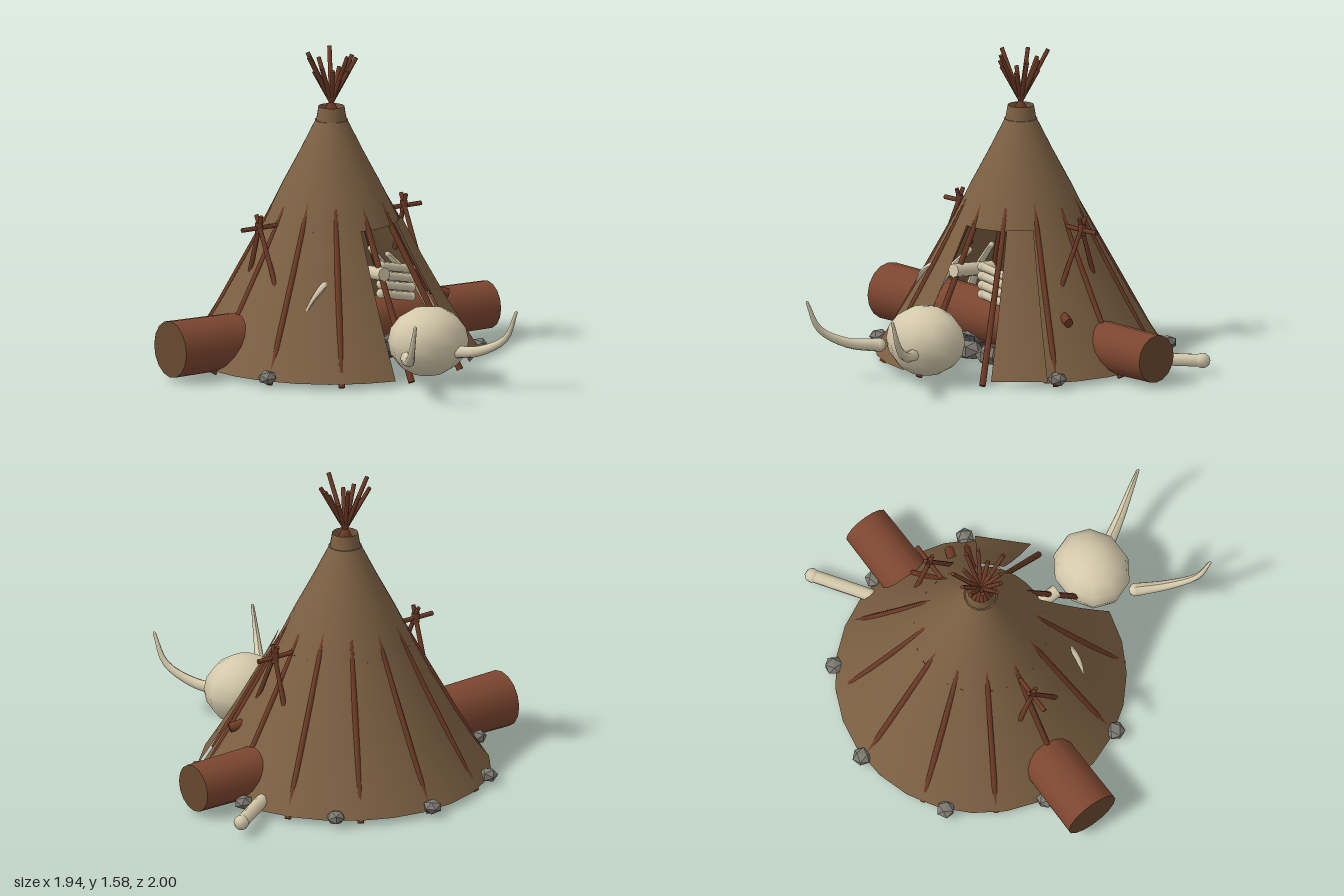
import * as THREE from 'three';

const mat = (name, color, side = THREE.FrontSide) => {
  const m = new THREE.MeshStandardMaterial({ color, side });
  m.name = name;
  return m;
};
const V = (x, y, z) => new THREE.Vector3(x, y, z);
const rad = THREE.MathUtils.degToRad;
const CZ = -0.21; // the tent axis sits behind the origin

// Point at an angle around the tent axis, 0 = front, 90 = model's left
const polar = (deg, r, y) => V(r * Math.sin(rad(deg)), y, CZ + r * Math.cos(rad(deg)));

export function createModel() {
  const hide = mat('hide', 0x7b5f42, THREE.DoubleSide);
  const wood = mat('pole wood', 0x6e3b26);
  const bark = mat('log bark', 0x7c4630);
  const cut = mat('cut wood', 0x66482f);
  const bone = mat('bone', 0xd4c9ab);
  const stone = mat('stone', 0x7c7970);
  const sooty = mat('sooty stone', 0x4b4c4d);
  const ash = mat('ash', 0x2c2a28);
  const model = new THREE.Group();

  const add = (name, geo, material, pos) => {
    const m = new THREE.Mesh(geo, material);
    m.name = name;
    if (pos) m.position.copy(pos);
    model.add(m);
    return m;
  };

  // Straight rod from a to b, radius ra at a and rb at b
  const rod = (name, a, b, ra, rb, material, sides = 8) => {
    const d = b.clone().sub(a);
    const m = add(name, new THREE.CylinderGeometry(rb, ra, d.length(), sides), material, a.clone().add(b).multiplyScalar(0.5));
    m.quaternion.setFromUnitVectors(V(0, 1, 0), d.normalize());
    return m;
  };

  // Curved, tapering tusk: tube whose rings shrink towards the tip
  const tusk = (name, pts, r0, r1) => {
    const n = 12, s = 8, curve = new THREE.CatmullRomCurve3(pts);
    const geo = new THREE.TubeGeometry(curve, n, 1, s);
    const p = geo.attributes.position;
    for (let i = 0; i < p.count; i++) {
      const t = Math.floor(i / (s + 1)) / n, c = curve.getPointAt(t);
      const v = V(0, 0, 0).fromBufferAttribute(p, i).sub(c).multiplyScalar(r0 + (r1 - r0) * t).add(c);
      p.setXYZ(i, v.x, v.y, v.z);
    }
    geo.computeVertexNormals();
    add(name, geo, bone);
    add(name + 'Root', new THREE.SphereGeometry(r0, 8, 6), bone, pts[0]);
    add(name + 'Tip', new THREE.SphereGeometry(r1, 8, 6), bone, pts[pts.length - 1]);
  };

  // Bone with rounded ends
  const limbBone = (name, a, b, r) => {
    rod(name, a, b, r, r, bone);
    [a, b].forEach(p => add(name + 'Knob', new THREE.SphereGeometry(r * 1.15, 8, 6), bone, p));
  };

  const rock = (name, pos, r, turn, material) => {
    const m = add(name, new THREE.IcosahedronGeometry(1, 0), material, pos);
    m.scale.set(r, r * 0.75, r);
    m.rotation.y = turn;
  };

  // Hide cover: closed upper cone, lower wall with a doorway, turned-back flap
  const lathe = (name, pts, from, to, segs) => {
    const geo = new THREE.LatheGeometry(pts.map(([r, y]) => new THREE.Vector2(r, y)), segs, rad(from), rad(to - from));
    return add(name, geo, hide, V(0, 0, CZ));
  };
  const wall = [[0.735, 0.04], [0.645, 0.18], [0.56, 0.32], [0.442, 0.53], [0.338, 0.73]];
  lathe('upperCover', [[0.338, 0.73], [0.255, 0.9], [0.165, 1.07], [0.08, 1.24]], 0, 360, 32);
  lathe('lowerCover', wall, 55, 352, 22);
  lathe('doorFlap', wall.map(([r, y]) => [r + 0.014, y + 0.01]), 34, 56, 1);
  lathe('smokeCollar', [[0.078, 1.24], [0.066, 1.31]], 0, 360, 16);
  lathe('collarSeat', [[0.078, 1.24], [0.085, 1.24]], 0, 360, 16);

  // Ring of poles crossing at the top
  for (let i = 0; i < 12; i++) {
    const top = 1.54 + 0.05 * Math.sin(i * 2.4);
    const rTop = 0.72 * (1.33 - top) / 1.31;
    rod('tentPole', polar(i * 30, 0.72, 0.02), polar(i * 30, rTop, top), 0.017, 0.011, wood, 6);
  }

  // Stones weighing down the hem
  [60, 100, 140, 180, 220, 260, 300].forEach((a, i) =>
    rock('hemStone', polar(a, 0.742, 0.062), 0.05, i * 1.3, stone));

  // Great log lying through the tent
  const log = rod('greatLog', V(-0.97, 0.175, -0.225), V(0.96, 0.155, -0.225), 0.145, 0.122, bark, 16);
  log.material = [bark, cut, cut];

  // Lashed racks on both sides
  for (const s of [-1, 1]) {
    const x = s * 0.44;
    rod('rackLegFront', V(x, 0.8, -0.235), V(x, 0.46, -0.06), 0.011, 0.013, wood, 6);
    rod('rackLegBack', V(x, 0.8, -0.19), V(x, 0.5, -0.29), 0.011, 0.013, wood, 6);
    rod('rackBar', V(x - 0.105, 0.737, CZ), V(x + 0.105, 0.737, CZ), 0.012, 0.012, wood, 6);
    rod('rackLashing', V(x, 0.71, CZ), V(x, 0.765, CZ), 0.02, 0.02, wood, 6);
  }

  // Large skull with a pair of tusks before the door
  const skull = add('skull', new THREE.SphereGeometry(1, 10, 8), bone, V(0.08, 0.23, 0.54));
  skull.scale.set(0.212, 0.178, 0.19);
  for (const s of [-1, 1]) {
    tusk('skullTusk', [V(s * 0.13, 0.19, 0.66), V(s * 0.21, 0.21, 0.8), V(s * 0.285, 0.29, 0.93), V(s * 0.307, 0.435, 0.995)], 0.035, 0.008);
  }

  // Bones: one reaching out at the back left, a stack and a stub in the doorway
  limbBone('outerBone', V(0.52, 0.075, -0.31), V(0.925, 0.08, -0.585), 0.034);
  for (let i = 0; i < 4; i++) {
    limbBone('stackedBone', V(0.07, 0.54 - i * 0.048, 0.13), V(0.28, 0.49 - i * 0.048, 0.09), 0.022);
  }
  rod('doorBone', V(0, 0.5, 0), V(0, 0.53, 0.265), 0.036, 0.036, bone);
  tusk('wallHorn', [V(-0.25, 0.5, 0.13), V(-0.31, 0.47, 0.15), V(-0.36, 0.42, 0.15), V(-0.395, 0.36, 0.14)], 0.022, 0.006);
  rod('wallPeg', V(0.48, 0.335, -0.03), V(0.565, 0.31, 0.005), 0.026, 0.024, wood);

  // Ribs arching up the inside of the wall
  for (const a of [75, 105, 130, 230, 255, 285]) {
    tusk('innerRib', [polar(a, 0.57, 0.07), polar(a, 0.54, 0.2), polar(a, 0.45, 0.36), polar(a, 0.3, 0.52)], 0.03, 0.015);
  }

  // Fire pit in the middle
  add('ashBed', new THREE.CylinderGeometry(0.25, 0.25, 0.02, 20), ash, V(0, 0.035, CZ));
  add('emberBed', new THREE.CylinderGeometry(0.18, 0.18, 0.03, 20), cut, V(0, 0.035, CZ));
  for (let i = 0; i < 12; i++) {
    rock('fireStone', polar(i * 30 + 12, 0.29, 0.07), 0.072, i * 0.9, i % 3 === 1 ? sooty : stone);
  }
  for (const a of [20, 160, 270]) {
    rod('firewood', polar(a, 0.2, 0.06), polar(a + 180, 0.03, 0.3), 0.032, 0.026, bark);
  }
  return model;
}
